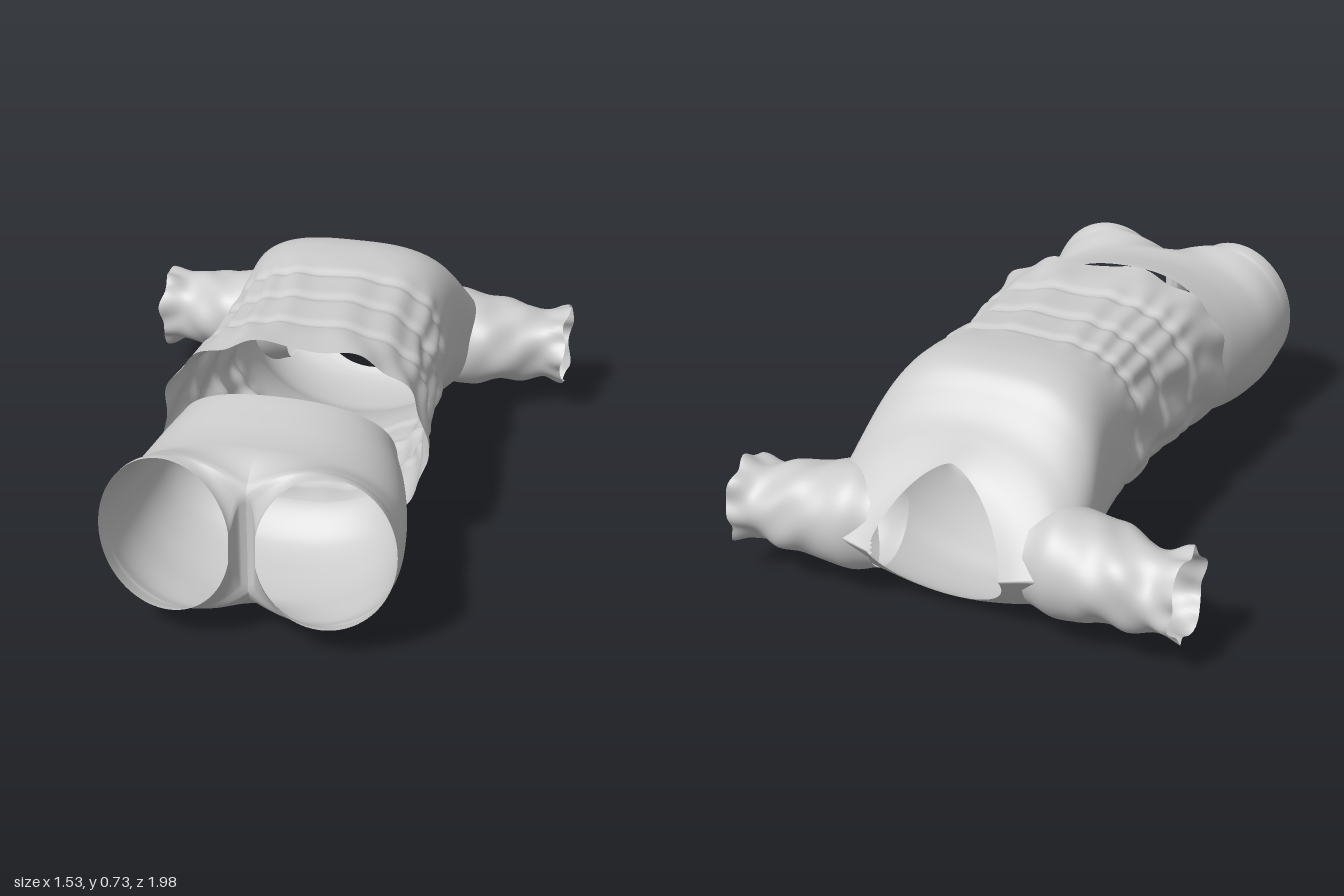
import * as THREE from 'three';
import { mergeVertices } from 'three/addons/utils/BufferGeometryUtils.js';

const { smoothstep, lerp } = THREE.MathUtils;
const material = new THREE.MeshStandardMaterial({ color: 0xcccccc, side: THREE.DoubleSide });
const spow = (v, e) => Math.sign(v) * Math.pow(Math.abs(v), e);

// Catmull-Rom through a list of numbers, t in 0..1
function curve(list, t) {
  const n = list.length - 1, f = Math.min(t * n, n - 1e-6), i = Math.floor(f), k = f - i;
  const p = (j) => list[Math.max(0, Math.min(n, j))];
  const a = p(i - 1), b = p(i), c = p(i + 1), d = p(i + 2);
  return b + 0.5 * k * (c - a + k * (2 * a - 5 * b + 4 * c - d + k * (3 * (b - c) + d - a)));
}

// Smooth sheet from fn(u, v) -> [x, y, z]; keep(u, v, centre) may cut openings
function sheet(name, fn, nu, nv, flip, keep = () => true) {
  const pos = [], index = [];
  for (let j = 0; j <= nv; j++)
    for (let i = 0; i <= nu; i++) pos.push(...fn((i % nu) / nu, j / nv));
  const at = (k) => new THREE.Vector3().fromArray(pos, k * 3);
  for (let j = 0; j < nv; j++)
    for (let i = 0; i < nu; i++) {
      const a = j * (nu + 1) + i, b = a + 1, c = a + nu + 1, d = c + 1;
      if (!keep((i + 0.5) / nu, (j + 0.5) / nv, at(a).add(at(d)).multiplyScalar(0.5))) continue;
      if (flip) index.push(a, c, b, b, c, d);
      else index.push(a, b, c, b, d, c);
    }
  let geo = new THREE.BufferGeometry();
  geo.setAttribute('position', new THREE.Float32BufferAttribute(pos, 3));
  geo.setIndex(index);
  geo = mergeVertices(geo, 1e-5);
  geo.computeVertexNormals();
  const mesh = new THREE.Mesh(geo, material);
  mesh.name = name;
  return mesh;
}

// Blouse rings, hem to neckline: half width, side y z, front y z, back y z, squareness of the front
const rings = [
  [.435, .40, .355, .725, .33, .08, .36, 2.6],
  [.41, .40, .23, .72, .22, .11, .23, 2.7],
  [.40, .40, .10, .71, .10, .105, .10, 2.7],
  [.385, .40, -.03, .71, -.03, .11, -.03, 2.7],
  [.38, .39, -.16, .71, -.16, .115, -.16, 2.9],
  [.375, .38, -.29, .715, -.28, .095, -.29, 3.1],
  [.375, .36, -.42, .725, -.39, .07, -.41, 3.3],
  [.385, .33, -.55, .725, -.48, .035, -.52, 3.3],
  [.405, .29, -.66, .705, -.56, .008, -.60, 3.0],
  [.42, .26, -.77, .65, -.625, .004, -.67, 2.7],
  [.42, .25, -.88, .595, -.69, .008, -.73, 2.3],
  [.39, .25, -.95, .56, -.75, .018, -.78, 2.0],
  [.31, .25, -.98, .535, -.80, .035, -.82, 1.7],
  [.225, .23, -.985, .515, -.84, .055, -.85, 1.5],
];
const shirring = [-.26, -.08, .12];

function blousePoint(u, v) {
  const a = u * Math.PI * 2, c = Math.cos(a), s = Math.sin(a);
  const [w, ys, zs, yt, zt, yb, zb, n] = rings[0].map((_, k) => curve(rings.map((r) => r[k]), v));
  const e = s > 0 ? 2 / n : lerp(.87, 1, smoothstep(v, .3, .6)), q = Math.pow(Math.abs(s), e);
  const x = 0.02 + w * spow(c, e);
  const y = lerp(ys, s > 0 ? yt : yb, q), z = lerp(zs, s > 0 ? zt : zb, q);
  // gathered bands, small puffs between them, slanted side folds, wavy hem
  const zone = smoothstep(z, -.38, -.22);
  let d = 0;
  for (const b of shirring) d -= 0.014 * Math.exp(-(((z - b) / 0.018) ** 2));
  d += 0.005 * zone * Math.sin(20 * a + 2 * Math.sin(3 * a) + 4 * z) * (1 - smoothstep(z, .15, .3));
  d += 0.010 * smoothstep(z, -.45, -.15) * c ** 4 * Math.sin(28 * (y + 0.7 * z) + 2 * c);
  d += 0.014 * smoothstep(z, .17, .35) * Math.sin(11 * a + 1) * Math.max(0, s);
  return [x + c * d, y + s * d, z];
}

// Sleeves: centre and radii from armhole to ruffled cuff
function sleevePoint(side) {
  return (u, v) => {
    const a = u * Math.PI * 2, c = Math.cos(a), s = Math.sin(a);
    const cuff = smoothstep(v, .82, 1), mid = smoothstep(v, .25, .55);
    const x = lerp(.265, .755, v);
    let d = 0.005 * mid * Math.sin(3 * a + v * 13 + side) + 0.004 * mid * Math.sin(5 * a - v * 17);
    d += 0.009 * cuff * Math.sin(8 * a + side);
    const rz = curve([.14, .165, .17, .162, .148, .125, .14], v) + d;
    const ry = curve([.155, .178, .168, .15, .14, .124, .142], v) + d;
    const cy = curve([.25, .25, .245, .245, .24, .24, .24], v);
    const cz = curve([-.815, -.815, -.81, -.815, -.83, -.84, -.84], v);
    return [side * (x + 0.008 * cuff * Math.sin(5 * a)), cy + ry * s, cz + rz * c];
  };
}

// Shorts: half outline (u below SEAM is the skin, above it the inner leg)
const SEAM = 0.85, CROTCH = 0.89;
function shortsOutline(u, s) {
  const w = curve([.355, .40, .43, .448, .46, .465], s);
  const top = curve([.645, .628, .612, .608, .62, .62], s);
  const bottom = curve([.18, .09, .05, .037, .052, .115], s);
  const yc = (top + bottom) / 2, h = (top - bottom) / 2;
  const skin = u <= SEAM, f = skin ? u / SEAM : (u - SEAM) / (1 - SEAM);
  const b = (f - 0.5) * Math.PI;
  const split = lerp(140, 168, smoothstep(s, CROTCH - .05, 1)) * Math.PI / 180;
  const body = skin ? [w * spow(Math.cos(b), .85), yc + h * spow(Math.sin(b), .85)] : [0, yc + h * (1 - 2 * f)];
  const A = skin ? lerp(-split, split, f) : lerp(split, 2 * Math.PI - split, f);
  const rx = w / (1 - Math.cos(split));
  const leg = [Math.max(0, rx * (Math.cos(A) - Math.cos(split))), yc + h * Math.sin(A)];
  const k = smoothstep(s, .58, 1);
  const x = lerp(body[0], leg[0], k);
  const gap = 0.042 * Math.pow(Math.max(0, (s - CROTCH) / (1 - CROTCH)), .35);
  return [x + gap * (1 - x / w), lerp(body[1], leg[1], k)];
}
function shortsPoint(side) {
  return (u, s) => {
    const [x, y] = shortsOutline(u, s), [, wy] = shortsOutline(u, 0), [ex, ey] = shortsOutline(u, 1);
    const waist = .365 + .16 * Math.pow(Math.max(0, (wy - .18) / .465), 1.95);
    const end = 1 - .05 * Math.pow(ex / .465, 1.5) - .04 * ((ey - .1) / .5) ** 2;
    return [.018 + side * x, y, lerp(waist, end, s)];
  };
}

export function createModel() {
  const model = new THREE.Group();
  const blouse = new THREE.Group(), shorts = new THREE.Group();
  blouse.name = 'blouse';
  shorts.name = 'shorts';
  // torso with armholes cut out
  const outsideArmhole = (u, v, p) =>
    Math.abs(p.x) < .31 || ((p.y - .25) / .155) ** 2 + ((p.z + .815) / .14) ** 2 > 1;
  blouse.add(sheet('blouseTorso', blousePoint, 192, 120, true, outsideArmhole));
  for (const side of [1, -1]) {
    const label = side > 0 ? 'left' : 'right';
    blouse.add(sheet(label + 'Sleeve', sleevePoint(side), 72, 48, side > 0));
    // the inner leg only exists past the crotch
    shorts.add(sheet(label + 'ShortsHalf', shortsPoint(side), 100, 100, side < 0,
      (u, s) => u < SEAM || s > CROTCH));
  }
  model.add(blouse, shorts);
  return model;
}
